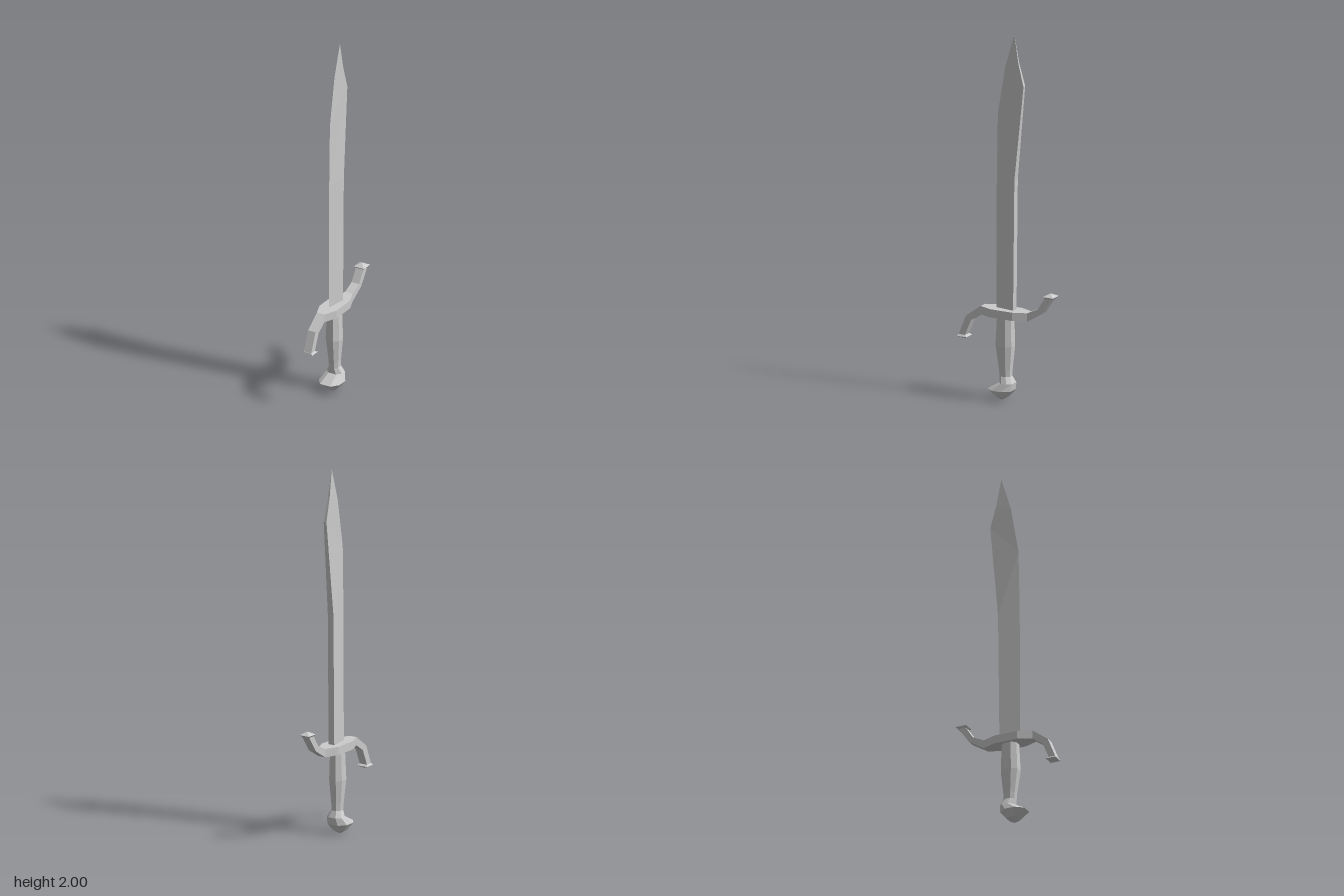
import * as THREE from 'three';

const material = new THREE.MeshStandardMaterial({ color: 0xcccccc, flatShading: true });

// Skins a list of rings (counter-clockwise about the travel direction) and closes both ends.
function loft(name, rings) {
  const pos = [];
  const tri = (a, b, c) => {
    const [A, B, C] = [a, b, c].map((p) => new THREE.Vector3(...p));
    if (new THREE.Triangle(A, B, C).getArea() > 1e-9) pos.push(...a, ...b, ...c);
  };
  const n = rings[0].length;
  for (let r = 0; r < rings.length - 1; r++) {
    const a = rings[r], b = rings[r + 1];
    for (let i = 0; i < n; i++) {
      const j = (i + 1) % n;
      tri(a[i], a[j], b[j]);
      tri(a[i], b[j], b[i]);
    }
  }
  const first = rings[0], last = rings[rings.length - 1];
  for (let i = 1; i < n - 1; i++) {
    tri(first[0], first[i + 1], first[i]);
    tri(last[0], last[i], last[i + 1]);
  }
  const geometry = new THREE.BufferGeometry();
  geometry.setAttribute('position', new THREE.Float32BufferAttribute(pos, 3));
  geometry.computeVertexNormals();
  const mesh = new THREE.Mesh(geometry, material);
  mesh.name = name;
  return mesh;
}

// Horizontal octagon between a front and a back z
function octagon([y, front, back, halfX]) {
  const zc = (front + back) / 2, d = (front - back) / 2;
  const outline = [[1, -0.42], [1, 0.42], [0.5, 1], [-0.5, 1], [-1, 0.42], [-1, -0.42], [-0.5, -1], [0.5, -1]];
  return outline.map(([u, v]) => [u * halfX, y, zc - v * d]);
}

// Horizontal rectangle
const rectangle = (y, zc, hx, hz) =>
  [[hx, y, zc + hz], [hx, y, zc - hz], [-hx, y, zc - hz], [-hx, y, zc + hz]];

export function createModel() {
  const sword = new THREE.Group();
  sword.name = 'sword';

  // Blade: wedge with sharp front edge and flat spine [edgeY, edgeZ, spineY, spineZ, spineHalfWidth]
  const blade = [
    [0.48, 0.07, 0.48, -0.042, 0.018],
    [1.21, 0.067, 1.21, -0.05, 0.018],
    [1.56, 0.06, 1.725, -0.1, 0.009],
    [1.82, 0.015, 1.85, -0.066, 0.005],
    [2, -0.04, 2, -0.04, 0],
  ];
  sword.add(loft('blade', blade.map(([ey, ez, sy, sz, w]) => [[0, ey, ez], [w, sy, sz], [-w, sy, sz]])));

  // Crossguard, swept from back tip to front tip [upperZ, upperY, lowerZ, lowerY, halfWidth]
  const guard = [
    [-0.237, 0.597, -0.278, 0.597, 0.023],
    [-0.194, 0.53, -0.216, 0.508, 0.023],
    [-0.13, 0.5, -0.13, 0.455, 0.023],
    [-0.055, 0.5, -0.055, 0.455, 0.053],
    [0.078, 0.5, 0.078, 0.455, 0.053],
    [0.152, 0.5, 0.152, 0.455, 0.023],
    [0.241, 0.434, 0.21, 0.415, 0.023],
    [0.285, 0.325, 0.248, 0.325, 0.023],
  ];
  sword.add(loft('crossguard', guard.map(([uz, uy, lz, ly, h]) =>
    [[h, ly, lz], [h, uy, uz], [-h, uy, uz], [-h, ly, lz]])));

  // Pyramid finials on the guard tips
  sword.add(loft('backFinial', [
    rectangle(0.595, -0.259, 0.023, 0.021), rectangle(0.605, -0.26, 0.032, 0.031), rectangle(0.622, -0.26, 0, 0),
  ]));
  sword.add(loft('frontFinial', [
    rectangle(0.303, 0.261, 0, 0), rectangle(0.319, 0.261, 0.032, 0.028), rectangle(0.328, 0.267, 0.023, 0.019),
  ]));

  // Octagonal grip and pommel [y, frontZ, backZ, halfWidth]
  sword.add(loft('grip', [
    [0.13, 0.042, -0.02, 0.028],
    [0.17, 0.045, -0.021, 0.03],
    [0.3, 0.063, -0.033, 0.041],
    [0.47, 0.055, -0.029, 0.035],
  ].map(octagon)));
  sword.add(loft('pommel', [
    [0.005, 0.045, 0.025, 0.01],
    [0.022, 0.066, 0.0, 0.036],
    [0.06, 0.108, -0.032, 0.063],
    [0.1, 0.038, -0.038, 0.046],
    [0.135, 0.042, -0.02, 0.028],
  ].map(octagon)));

  return sword;
}
